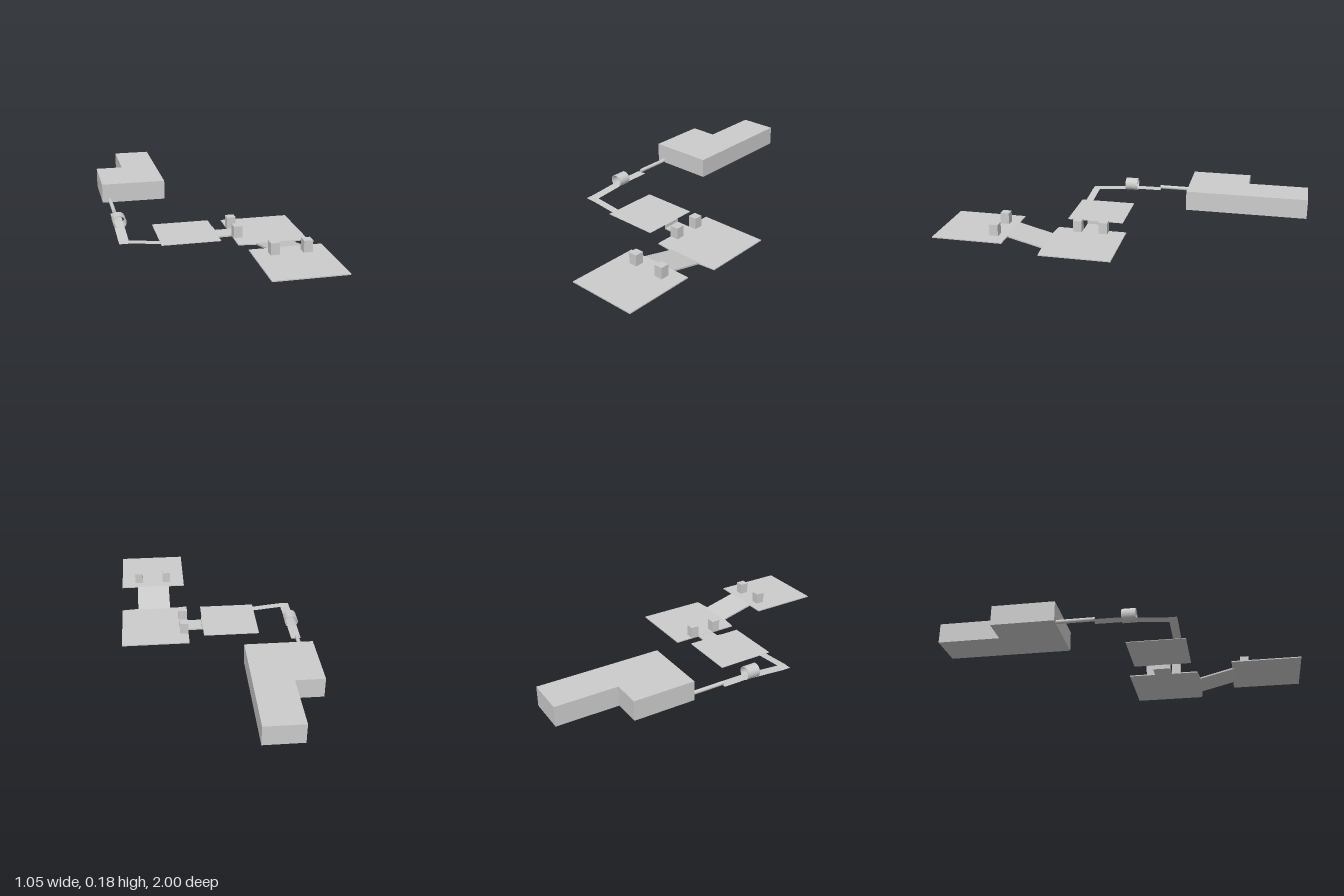
import * as THREE from 'three';

const material = new THREE.MeshStandardMaterial({ color: 0xcccccc, flatShading: true });
const smooth = new THREE.MeshStandardMaterial({ color: 0xcccccc });
const sheet = new THREE.MeshStandardMaterial({ color: 0xcccccc, flatShading: true, side: THREE.DoubleSide });

export function createModel() {
  const model = new THREE.Group();

  const add = (name, geometry, mat = material) => {
    const mesh = new THREE.Mesh(geometry, mat);
    mesh.name = name;
    model.add(mesh);
    return mesh;
  };

  // Box given by its limits on each axis
  const box = (name, [x0, x1], [y0, y1], [z0, z1]) =>
    add(name, new THREE.BoxGeometry(x1 - x0, y1 - y0, z1 - z0)
      .translate((x0 + x1) / 2, (y0 + y1) / 2, (z0 + z1) / 2));

  // Plan outline of [x, z] points, extruded upwards
  const slab = (name, points, y0, y1) => {
    const shape = new THREE.Shape(points.map(([x, z]) => new THREE.Vector2(x, -z)));
    add(name, new THREE.ExtrudeGeometry(shape, { depth: y1 - y0, bevelEnabled: false })
      .rotateX(-Math.PI / 2).translate(0, y0, 0));
  };

  // Side outline of [z, y] points, extruded across x
  const sideProfile = (name, points, x0, x1) => {
    const shape = new THREE.Shape(points.map(([z, y]) => new THREE.Vector2(z, y)));
    add(name, new THREE.ExtrudeGeometry(shape, { depth: x1 - x0, bevelEnabled: false })
      .rotateY(-Math.PI / 2).translate(x1, 0, 0));
  };

  // Thin ribbon through pairs of edge points
  const ribbon = (name, rows) => {
    const geometry = new THREE.BufferGeometry();
    geometry.setAttribute('position', new THREE.Float32BufferAttribute(rows.flat(2), 3));
    const index = [];
    for (let i = 0; i < rows.length - 1; i++) {
      const a = i * 2;
      index.push(a, a + 1, a + 2, a + 1, a + 3, a + 2);
    }
    geometry.setIndex(index);
    geometry.computeVertexNormals();
    add(name, geometry, sheet);
  };

  // Two square platforms joined by a ramp
  slab('lowerPlatform', [[0.13, 0], [0.525, 0], [0.525, 0.398], [0.427, 0.408],
    [0.228, 0.408], [0.13, 0.398]], 0.006, 0.012);
  box('upperPlatform', [0.13, 0.525], [0.057, 0.063], [0.6, 1]);
  sideProfile('ramp', [[0.4, 0.012], [0.41, 0.006], [0.613, 0.057], [0.6, 0.063]], 0.228, 0.427);

  // Posts on the platforms
  for (const z of [0.1, 0.25]) box('lowerPost', [0.13, 0.18], [0.008, 0.078], [z, z + 0.05]);
  for (const x of [0.217, 0.393]) box('upperPost', [x, x + 0.048], [0.059, 0.127], [0.65, 0.7]);

  // Bridge with a short riser up to the middle plate
  box('bridge', [0.04, 0.14], [0.002, 0.011], [0.15, 0.25]);
  box('bridgeRiser', [0.04, 0.046], [0.002, 0.031], [0.15, 0.25]);
  box('middlePlate', [-0.285, 0.042], [0.028, 0.031], [0.04, 0.37]);

  // Bent strip leading to the cable
  ribbon('sideStrip', [
    [[-0.285, 0.03, 0.3], [-0.285, 0.03, 0.345]],
    [[-0.452, 0.046, 0.3], [-0.452, 0.046, 0.345]],
    [[-0.508, 0.046, 0.3], [-0.508, 0.046, 0.345]],
  ]);
  ribbon('backStrip', [
    [[-0.508, 0.046, 0.3], [-0.452, 0.046, 0.3]],
    [[-0.508, 0.067, 0.05], [-0.452, 0.067, 0.05]],
    [[-0.508, 0.068, -0.095], [-0.452, 0.068, -0.095]],
  ]);

  // Tube wrapped around the strip
  const outer = 0.038, inner = 0.033, length = 0.075;
  const wall = new THREE.Shape().absarc(0, 0, outer, 0, Math.PI * 2);
  wall.holes.push(new THREE.Path().absarc(0, 0, inner, 0, Math.PI * 2, true));
  add('sleeve', new THREE.ExtrudeGeometry(wall, { depth: length, bevelEnabled: false, curveSegments: 32 })
    .translate(-0.478, 0.089, 0.054));

  // Cable into the housing
  add('cable', new THREE.CylinderGeometry(0.0112, 0.0112, 0.21, 24)
    .rotateX(Math.PI / 2).translate(-0.485, 0.079, -0.196), smooth);

  // L-shaped housing
  slab('housing', [[-0.53, -0.3], [-0.152, -0.3], [-0.152, -1], [-0.37, -1],
    [-0.37, -0.65], [-0.53, -0.65]], 0.067, 0.181);

  return model;
}
